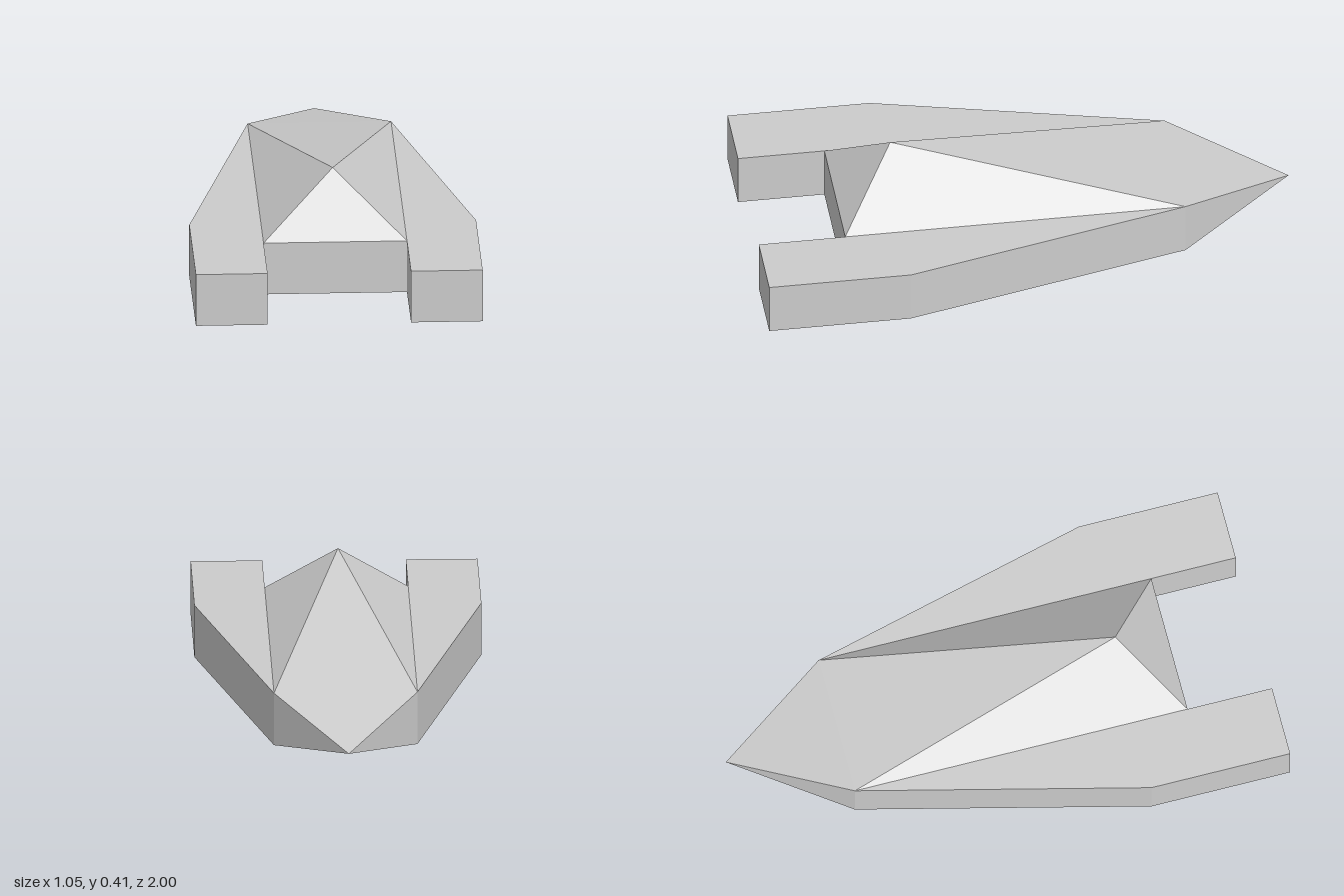
import * as THREE from 'three';

const HALF = 0.263;  // half width of the central body
const WIDE = 0.526;  // half width across the rear prongs
const DECK = 0.2;    // hull thickness
const BOW = -0.58;   // where the hull meets the nose
const STERN = 0.68;  // rear of the central body

// Open-based pyramid: four corners counterclockwise as seen from the apex
function pyramid(corners, apex) {
  const points = [];
  corners.forEach((c, i) => points.push(...c, ...corners[(i + 1) % 4], ...apex));
  const geometry = new THREE.BufferGeometry();
  geometry.setAttribute('position', new THREE.Float32BufferAttribute(points, 3));
  geometry.computeVertexNormals();
  return geometry;
}

export function createModel() {
  const group = new THREE.Group();
  const grey = new THREE.MeshStandardMaterial({ color: 0xcccccc });
  grey.name = 'hull grey';

  function add(name, geometry) {
    const mesh = new THREE.Mesh(geometry, grey);
    mesh.name = name;
    group.add(mesh);
  }

  // Flat hull: mirrored plan outline [x, z] with two rear prongs
  const side = [[HALF, STERN], [HALF, 1], [WIDE, 1], [WIDE, 0.475], [HALF, BOW]];
  const outline = [...side, ...side.map(([x, z]) => [-x, z]).reverse()];
  const plan = new THREE.Shape(outline.map(([x, z]) => new THREE.Vector2(x, -z)));
  const hull = new THREE.ExtrudeGeometry(plan, { depth: DECK, bevelEnabled: false });
  hull.rotateX(-Math.PI / 2);
  add('hull', hull);

  // Pointed nose, tapering to a tip at mid height
  add('nose', pyramid(
    [[HALF, 0, BOW], [-HALF, 0, BOW], [-HALF, DECK, BOW], [HALF, DECK, BOW]],
    [0, DECK / 2, -1]));

  // Faceted canopy, peaking towards the rear
  add('canopy', pyramid(
    [[-HALF, DECK, STERN], [HALF, DECK, STERN], [HALF, DECK, BOW], [-HALF, DECK, BOW]],
    [0, 0.415, 0.475]));

  return group;
}
